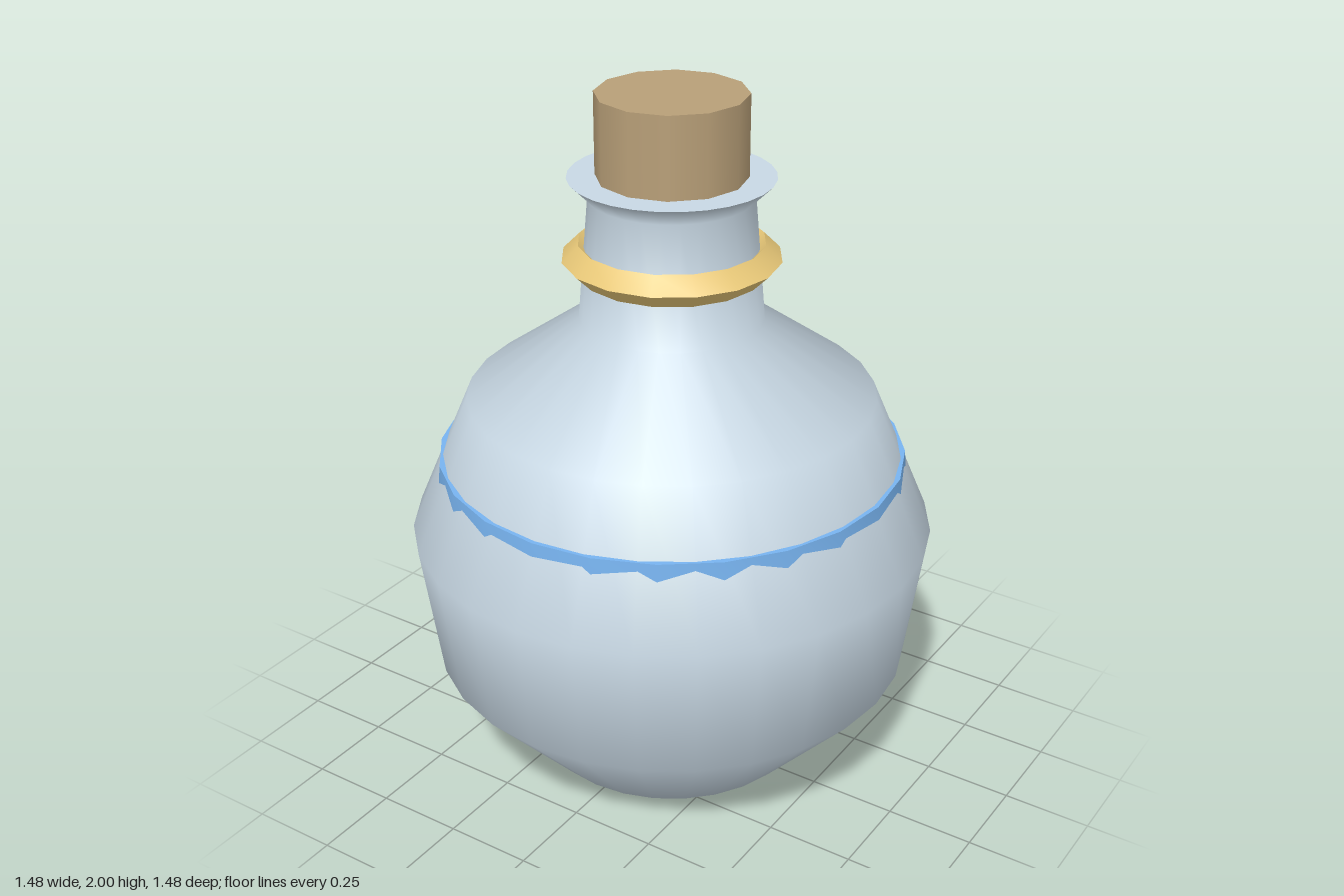
import * as THREE from 'three';
import { toCreasedNormals } from 'three/addons/utils/BufferGeometryUtils.js';

const mat = (color) => new THREE.MeshStandardMaterial({ color });

function lathe(points, sides) {
  return new THREE.LatheGeometry(points.map(([r, y]) => new THREE.Vector2(r, y)), sides);
}

export function createModel() {
  const group = new THREE.Group();
  const glass = mat(0xc8d8e4);
  const add = (name, geometry, material) => {
    const mesh = new THREE.Mesh(geometry, material);
    mesh.name = name;
    group.add(mesh);
    return mesh;
  };

  // Round flask body running up into the neck and flared lip
  add('flaskBody', lathe([
    [0, 0], [0.4, 0.035], [0.685, 0.35], [0.74, 0.75], [0.57, 1.15],
    [0.255, 1.375], [0.225, 1.72], [0.28, 1.775],
  ], 28), glass);

  // Flat top of the lip
  const lip = add('lipTop', new THREE.CircleGeometry(0.28, 28), glass);
  lip.rotation.x = -Math.PI / 2;
  lip.position.y = 1.775;

  // Cork stopper
  const cork = add('cork', new THREE.CylinderGeometry(0.205, 0.205, 0.25, 12), mat(0xb89f78));
  cork.position.y = 1.875;

  // Angular collar around the neck
  add('neckRing', toCreasedNormals(lathe([
    [0.21, 1.55], [0.255, 1.505], [0.3, 1.55], [0.255, 1.595], [0.21, 1.55],
  ], 16), 0.6), mat(0xe8c878));

  // Band whose lower edge sinks into the body
  add('shoulderBand', toCreasedNormals(lathe([
    [0.655, 0.89], [0.664, 0.9], [0.657, 0.975], [0.63, 0.975],
  ], 24), 0.6), mat(0x78b4f0));

  return group;
}
